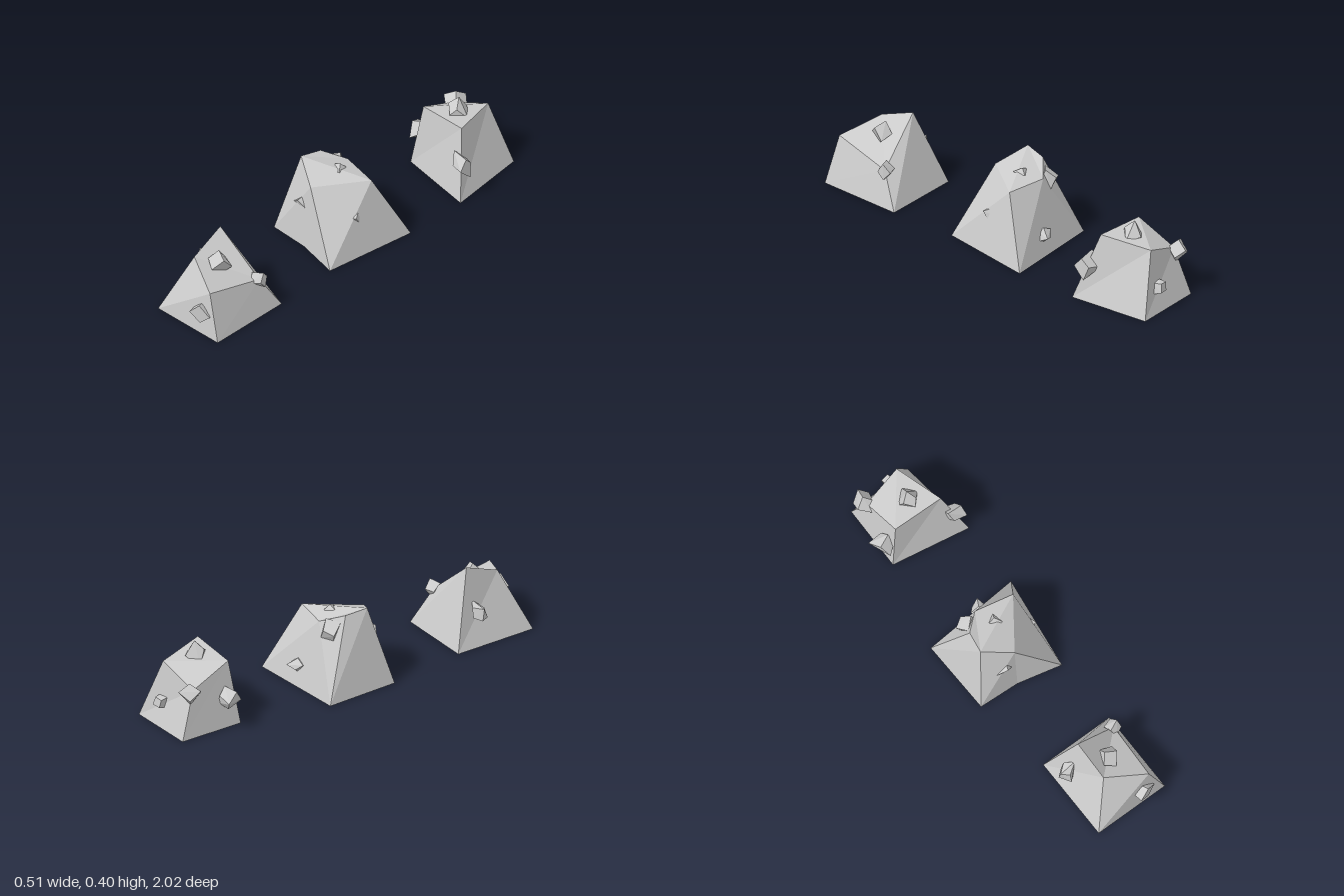
import * as THREE from 'three';
import { ConvexGeometry } from 'three/addons/geometries/ConvexGeometry.js';

const material = new THREE.MeshStandardMaterial({ color: 0xcccccc, flatShading: true });

// Small seeded generator for the chips
let seed = 7;
const rand = () => {
  seed = (seed * 16807) % 2147483647;
  return seed / 2147483647;
};

// Boulder skinned between a ground ring [x, z] and a top ring [x, y, z].
// Both run front-left, front-right, back-right, back-left; a repeated point makes a triangle.
function boulderGeometry(base, top) {
  const b = base.map(([x, z]) => new THREE.Vector3(x, 0, z));
  const t = top.map((p) => new THREE.Vector3(...p));
  const points = [];
  const tri = (p, q, r) => {
    if (!p.equals(q) && !q.equals(r) && !r.equals(p)) points.push(p, q, r);
  };
  const fan = (loop) => {
    for (let i = 1; i < loop.length - 1; i++) tri(loop[0], loop[i], loop[i + 1]);
  };
  b.forEach((p, i) => {
    const j = (i + 1) % b.length;
    tri(p, b[j], t[j]);
    tri(p, t[j], t[i]);
  });
  fan(t);
  fan([...b].reverse());
  const geometry = new THREE.BufferGeometry().setFromPoints(points);
  geometry.computeVertexNormals();
  return geometry;
}

// Rough little block with jittered corners
function chipGeometry(size) {
  const corners = [];
  for (const x of [-1, 1]) for (const y of [-1, 1]) for (const z of [-1, 1]) {
    const s = size * (0.4 + 0.3 * rand());
    corners.push(new THREE.Vector3(x * s, y * s * 1.05, z * s)
      .add(new THREE.Vector3(rand() - 0.5, rand() - 0.5, rand() - 0.5).multiplyScalar(size * 0.25)));
  }
  return new ConvexGeometry(corners);
}

// Each boulder with its chips as [x, y, z, size]
const boulders = [
  {
    name: 'frontBoulder',
    base: [[-0.19, 0.99], [0.2, 0.99], [0.2, 0.56], [-0.19, 0.56]],
    top: [[-0.07, 0.3, 0.87], [0.125, 0.235, 0.965], [0.15, 0.17, 0.66], [-0.08, 0.375, 0.685]],
    chips: [
      [0.015, 0.27, 0.79, 0.05], [0.15, 0.17, 0.66, 0.055],
      [-0.16, 0.165, 0.7, 0.055], [0.08, 0.115, 0.97, 0.055],
    ],
  },
  {
    name: 'middleBoulder',
    base: [[-0.246, 0.154], [-0.04, 0.165], [0.183, 0.218], [0.246, -0.26], [-0.256, -0.223], [-0.256, -0.223]],
    top: [[-0.17, 0.4, 0.05], [-0.03, 0.33, 0.13], [-0.03, 0.33, 0.13],
      [0.14, 0.335, -0.105], [-0.055, 0.34, -0.145], [-0.15, 0.385, -0.06]],
    chips: [
      [0.02, 0.095, -0.215, 0.045], [-0.115, 0.305, -0.125, 0.06],
      [0.135, 0.185, 0, 0.055], [-0.08, 0.2, 0.105, 0.06], [-0.015, 0.35, -0.05, 0.035],
    ],
  },
  {
    name: 'backBoulder',
    base: [[-0.145, -0.66], [0.25, -0.59], [0.2, -1], [-0.14, -0.99]],
    top: [[-0.1, 0.325, -0.7], [0.16, 0.337, -0.69], [0.09, 0.315, -0.94], [-0.11, 0.235, -0.91]],
    chips: [
      [0.04, 0.335, -0.775, 0.06], [-0.11, 0.23, -0.93, 0.055], [0.065, 0.12, -0.975, 0.045],
      [-0.145, 0.16, -0.735, 0.06], [0.205, 0.175, -0.645, 0.06],
    ],
  },
];

export function createModel() {
  seed = 7;
  const model = new THREE.Group();
  model.name = 'boulders';
  for (const { name, base, top, chips } of boulders) {
    const group = new THREE.Group();
    group.name = name;
    const body = new THREE.Mesh(boulderGeometry(base, top), material);
    body.name = 'boulderBody';
    group.add(body);
    // Stone chips stuck to the faces
    for (const [x, y, z, size] of chips) {
      const chip = new THREE.Mesh(chipGeometry(size), material);
      chip.name = 'stoneChip';
      chip.position.set(x, y, z);
      chip.rotation.set(rand() * 0.8, rand() * 3, rand() * 0.8);
      group.add(chip);
    }
    model.add(group);
  }
  return model;
}
